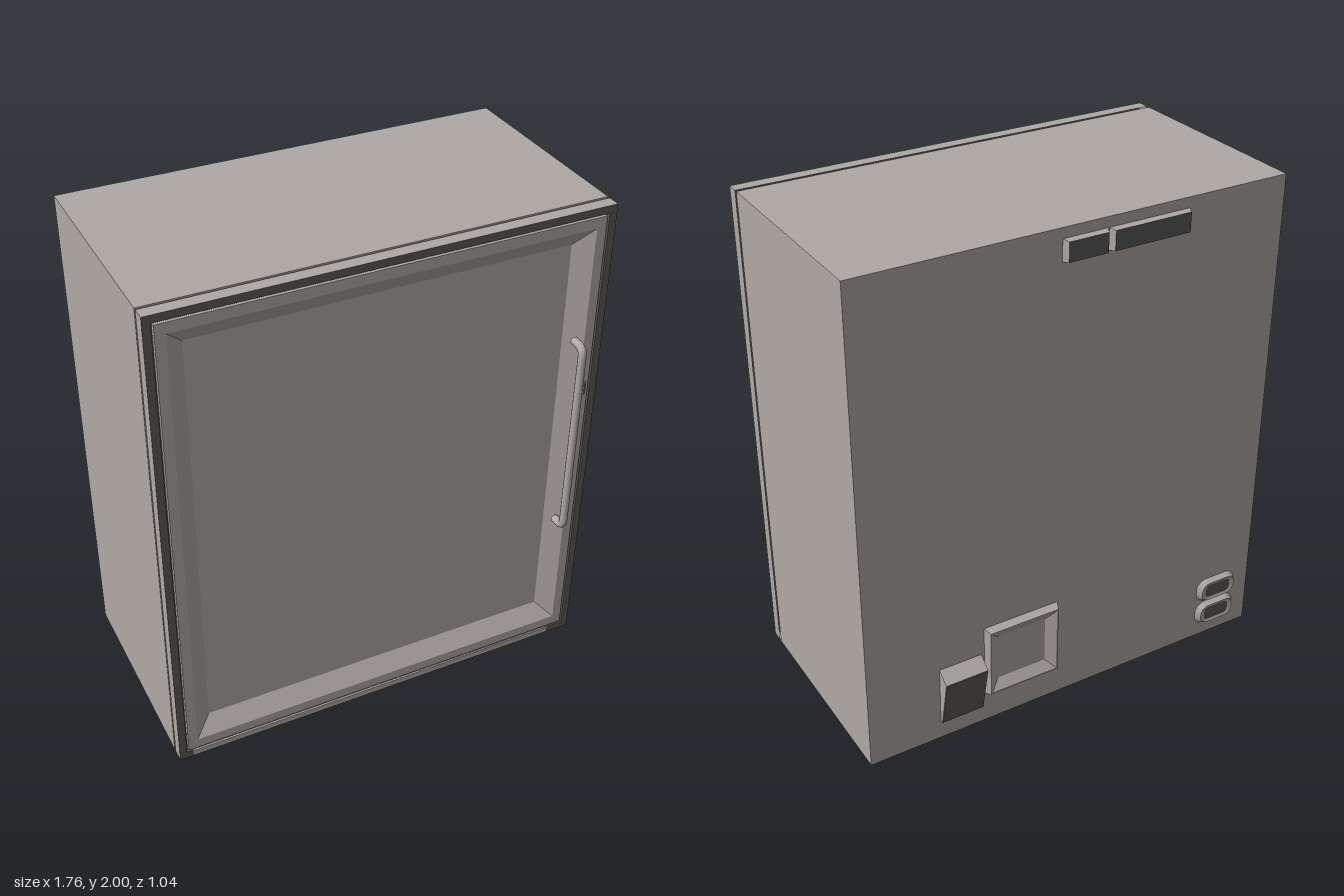
import * as THREE from 'three';

const material = (name, color, side = THREE.FrontSide) => {
  const m = new THREE.MeshStandardMaterial({ color, side });
  m.name = name;
  return m;
};
const steel = material('warm grey steel', 0xb0a9a6, THREE.DoubleSide);
const dark = material('dark grey', 0x5c5a59, THREE.DoubleSide);
const black = material('seam black', 0x383737);

// Rounded rectangle cross-section facing +z; corner steps = seg + 1 points each
function ring(hw, hh, z, r = 0, seg = 0) {
  const pts = [];
  [[1, 1], [-1, 1], [-1, -1], [1, -1]].forEach(([sx, sy], q) => {
    for (let i = 0; i <= seg; i++) {
      const a = (q + (seg ? i / seg : 0.5)) * Math.PI / 2;
      pts.push([sx * (hw - r) + r * Math.cos(a), sy * (hh - r) + r * Math.sin(a), z]);
    }
  });
  return pts;
}

// Flat-shaded skin through successive rings, optionally closed at the last one
function loft(rings, cap = false) {
  const pos = [];
  for (let k = 0; k + 1 < rings.length; k++) {
    const a = rings[k], b = rings[k + 1], n = a.length;
    for (let i = 0; i < n; i++) {
      const j = (i + 1) % n;
      pos.push(...a[i], ...a[j], ...b[j], ...a[i], ...b[j], ...b[i]);
    }
  }
  if (cap) {
    const e = rings[rings.length - 1];
    for (let i = 1; i + 1 < e.length; i++) pos.push(...e[0], ...e[i], ...e[i + 1]);
  }
  const g = new THREE.BufferGeometry();
  g.setAttribute('position', new THREE.Float32BufferAttribute(pos, 3));
  g.computeVertexNormals();
  return g;
}

function add(parent, name, geometry, mat, x = 0, y = 0, z = 0) {
  const mesh = new THREE.Mesh(geometry, mat);
  mesh.name = name;
  mesh.position.set(x, y, z);
  parent.add(mesh);
  return mesh;
}

const box = (w, h, d) => new THREE.BoxGeometry(w, h, d);

function createDoor() {
  const door = new THREE.Group();
  door.name = 'door';
  door.position.y = 1;
  add(door, 'doorEdge', loft([ring(0.88, 1, 0.396), ring(0.88, 1, 0.447)]), steel);
  // dark seal and the groove inside it
  add(door, 'doorSeal', loft([
    ring(0.88, 1, 0.447), ring(0.85, 0.97, 0.447), ring(0.85, 0.97, 0.43), ring(0.842, 0.962, 0.43),
  ]), dark);
  // panel with a sloped, recessed centre
  add(door, 'doorPanel', loft([
    ring(0.842, 0.962, 0.43), ring(0.842, 0.962, 0.447),
    ring(0.803, 0.92, 0.447), ring(0.735, 0.85, 0.4),
  ], true), steel);
  add(door, 'bottomTrim', box(1.6, 0.024, 0.006), steel, -0.025, -0.982, 0.447);
  // latch: small plate with slots
  add(door, 'latchPlate', box(0.05, 0.06, 0.006), steel, 0.81, 0.24, 0.447);
  for (const dx of [-0.017, 0, 0.017]) {
    add(door, 'latchSlot', box(0.006, 0.054, 0.003), dark, 0.81 + dx, 0.24, 0.4505);
  }
  return door;
}

// Bar handle with rounded bends
function createHandle() {
  const v = (y, z) => new THREE.Vector3(0.762, y, z);
  const z0 = 0.44, z1 = 0.5, lo = 0.624, hi = 1.464, b = 0.035;
  const path = new THREE.CurvePath();
  path.add(new THREE.LineCurve3(v(lo, z0), v(lo, z1 - b)));
  path.add(new THREE.QuadraticBezierCurve3(v(lo, z1 - b), v(lo, z1), v(lo + b, z1)));
  path.add(new THREE.LineCurve3(v(lo + b, z1), v(hi - b, z1)));
  path.add(new THREE.QuadraticBezierCurve3(v(hi - b, z1), v(hi, z1), v(hi, z1 - b)));
  path.add(new THREE.LineCurve3(v(hi, z1 - b), v(hi, z0)));
  return new THREE.TubeGeometry(path, 120, 0.016, 14);
}

// Fittings on the rear wall, built facing +z and turned to the back
function createRearFittings() {
  const rear = new THREE.Group();
  rear.name = 'rearFittings';
  rear.rotation.y = Math.PI;
  rear.position.z = -0.465;

  // two shallow blocks near the top, with dark faces
  for (const [x, hw] of [[0.285, 0.168], [0.02, 0.09]]) {
    add(rear, 'topBlockSides', loft([ring(hw, 0.042, 0), ring(hw - 0.01, 0.038, 0.026)]), steel, x, 1.917);
    add(rear, 'topBlockFace', loft([ring(hw - 0.01, 0.038, 0.026)], true), dark, x, 1.917);
  }

  // raised square surround with a sloped recess
  add(rear, 'recessedFrame', loft([
    ring(0.162, 0.158, 0), ring(0.15, 0.146, 0.03),
    ring(0.143, 0.139, 0.03), ring(0.105, 0.1, 0.004),
  ], true), steel, -0.225, 0.29);

  // wedge-shaped cover beside it
  const profile = new THREE.Shape([[0, 0.08], [0.011, 0.08], [0.052, 0.29], [0, 0.33]]
    .map(([z, y]) => new THREE.Vector2(z, y)));
  const wedge = new THREE.ExtrudeGeometry(profile, { depth: 0.18, bevelEnabled: false });
  wedge.rotateY(-Math.PI / 2);
  add(rear, 'wedgeCover', wedge, steel, -0.4);
  const face = add(rear, 'wedgeFace', box(0.176, 0.21, 0.003), dark, -0.49, 0.185, 0.0325);
  face.rotation.x = Math.atan2(0.041, 0.21);

  // pair of rounded sockets
  for (const y of [0.11, 0.225]) {
    const outer = ring(0.095, 0.054, 0, 0.045, 5);
    const lip = ring(0.08, 0.042, 0.022, 0.035, 5);
    const inner = ring(0.06, 0.03, 0.018, 0.02, 5);
    add(rear, 'socketRim', loft([outer, lip, inner]), steel, 0.715, y);
    add(rear, 'socketFace', loft([inner], true), dark, 0.715, y);
  }
  return rear;
}

export function createModel() {
  const model = new THREE.Group();
  model.name = 'cabinet';
  add(model, 'cabinetBody', box(1.76, 2, 0.85), steel, 0, 1, -0.04);
  add(model, 'doorSeam', box(1.744, 1.984, 0.012), black, 0, 1, 0.39);
  model.add(createDoor());
  add(model, 'doorHandle', createHandle(), steel);
  model.add(createRearFittings());
  return model;
}
